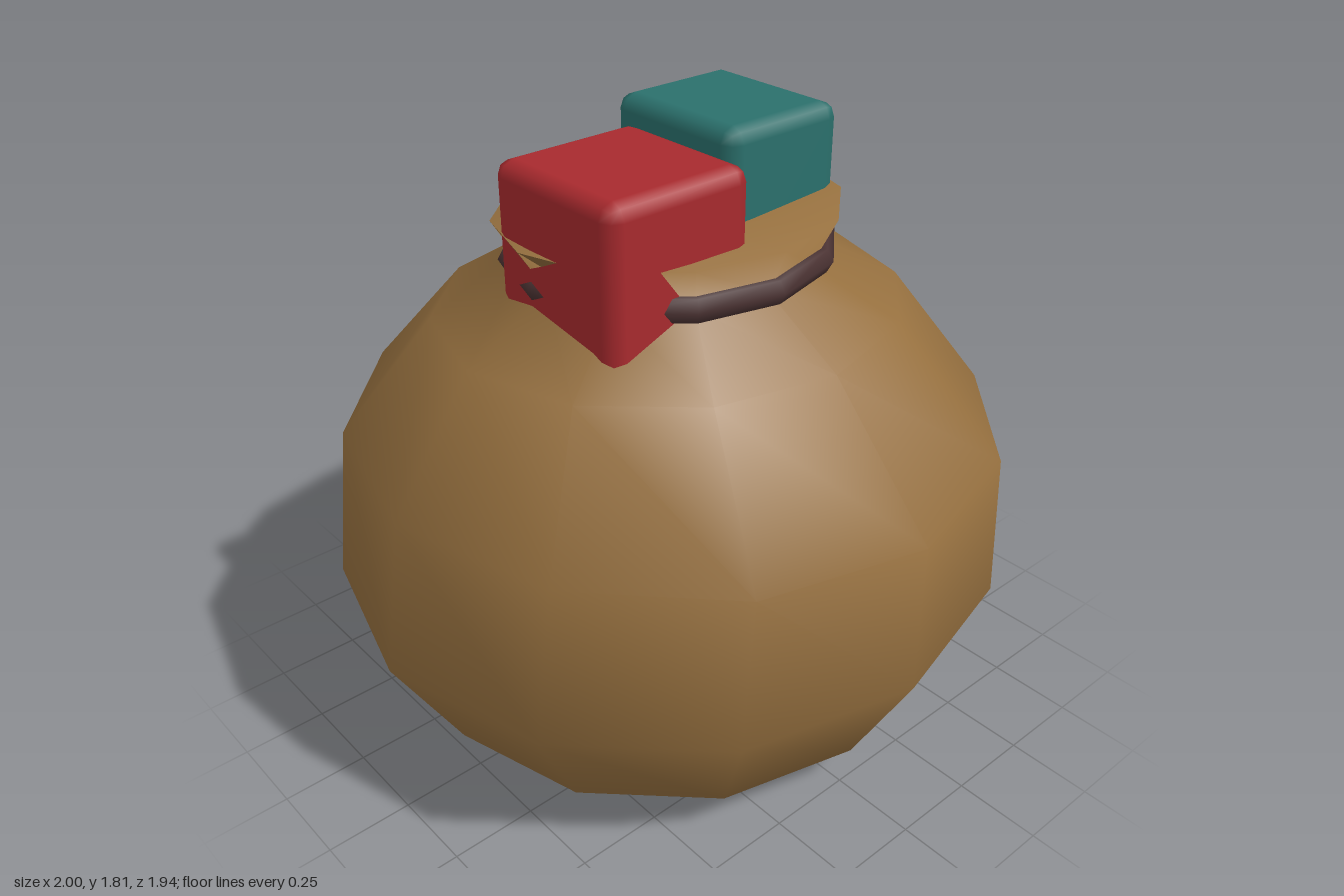
import * as THREE from 'three';
import { mergeVertices } from 'three/addons/utils/BufferGeometryUtils.js';
import { RoundedBoxGeometry } from 'three/addons/geometries/RoundedBoxGeometry.js';

const SIDES = 12;

const material = (name, color, side = THREE.FrontSide) => {
  const m = new THREE.MeshStandardMaterial({ color, side });
  m.name = name;
  return m;
};

const named = (name, geometry, mat) => {
  const mesh = new THREE.Mesh(geometry, mat);
  mesh.name = name;
  return mesh;
};

// Sack body: rings of [height, half width, half depth], with smooth normals
function sackGeometry() {
  const rings = [
    [0, 0, 0],
    [0, 0.555, 0.55],
    [0.14, 0.795, 0.78],
    [0.5, 1, 0.97],
    [0.95, 0.93, 0.965],
    [1.3, 0.68, 0.63],
    [1.44, 0.42, 0.385],
    [1.57, 0.505, 0.44],
    [1.53, 0, 0],
  ];
  const geo = new THREE.LatheGeometry(rings.map(([y, rx]) => new THREE.Vector2(rx, y)), SIDES);
  const pos = geo.attributes.position;
  for (let i = 0; i < pos.count; i++) {
    const [, rx, rz] = rings[i % rings.length];
    if (rx > 0) pos.setZ(i, pos.getZ(i) * rz / rx);
  }
  geo.deleteAttribute('uv');
  geo.deleteAttribute('normal');
  const merged = mergeVertices(geo, 1e-4);
  merged.computeVertexNormals();
  return merged;
}

export function createModel() {
  const group = new THREE.Group();
  group.name = 'giftSack';

  const cloth = material('brown cloth', 0x96703f, THREE.DoubleSide);
  const cord = material('dark cord', 0x4a3232);
  const red = material('red box', 0xa82a2e);
  const teal = material('teal box', 0x2b706c);

  group.add(named('sack', sackGeometry(), cloth));

  // Cord tied round the neck
  const ring = new THREE.TorusGeometry(0.447, 0.038, 6, SIDES);
  ring.rotateX(Math.PI / 2);
  ring.scale(1, 1, 0.91);
  ring.translate(0, 1.455, 0);
  group.add(named('neckCord', ring, cord));

  // Presents sticking out of the opening: min and max corners
  const presents = [
    ['redPresent', red, [-0.47, 1.3, -0.15], [-0.01, 1.77, 0.325]],
    ['tealPresent', teal, [0.042, 1.32, -0.285], [0.452, 1.805, 0.19]],
  ];
  for (const [name, mat, min, max] of presents) {
    const box = new THREE.Box3(new THREE.Vector3(...min), new THREE.Vector3(...max));
    const size = box.getSize(new THREE.Vector3());
    const mesh = named(name, new RoundedBoxGeometry(size.x, size.y, size.z, 1, 0.045), mat);
    box.getCenter(mesh.position);
    group.add(mesh);
  }

  return group;
}
